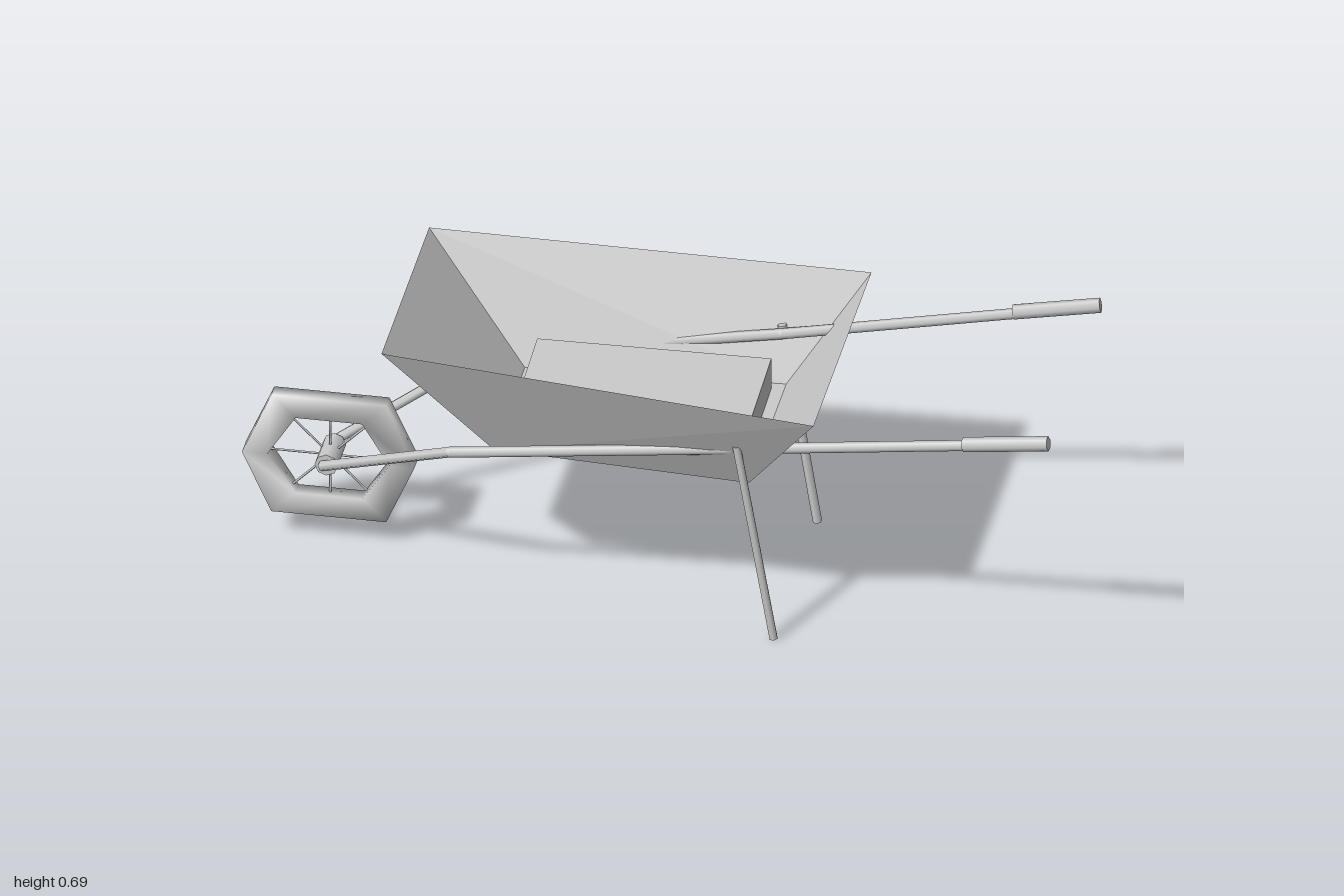
import * as THREE from 'three';

const metal = new THREE.MeshStandardMaterial({ color: 0xcccccc });
metal.name = 'grey metal';
const sheet = new THREE.MeshStandardMaterial({ color: 0xcccccc, side: THREE.DoubleSide });
sheet.name = 'grey sheet';

const V = (x, y, z) => new THREE.Vector3(x, y, z);

// Six-sided rod between two points
function rod(name, a, b, radius, sides = 6) {
  const dir = b.clone().sub(a);
  const mesh = new THREE.Mesh(new THREE.CylinderGeometry(radius, radius, dir.length(), sides), metal);
  mesh.position.copy(a).add(b).multiplyScalar(0.5);
  mesh.quaternion.setFromUnitVectors(V(0, 1, 0), dir.normalize());
  mesh.name = name;
  return mesh;
}

// Open tray with four sloping walls and a floor
function makeTray() {
  const rim = [V(-0.61, 0.69, 0.3), V(0.44, 0.645, 0.365), V(0.44, 0.645, -0.365), V(-0.61, 0.69, -0.3)];
  const base = [V(-0.36, 0.395, 0.195), V(0.26, 0.395, 0.235), V(0.26, 0.395, -0.235), V(-0.36, 0.395, -0.195)];
  const points = [];
  const quad = (a, b, c, d) => points.push(a, b, c, a, c, d);
  for (let i = 0; i < 4; i++) {
    const j = (i + 1) % 4;
    quad(base[i], base[j], rim[j], rim[i]);
  }
  quad(base[3], base[2], base[1], base[0]);
  const geometry = new THREE.BufferGeometry().setFromPoints(points);
  geometry.computeVertexNormals();
  const mesh = new THREE.Mesh(geometry, sheet);
  mesh.name = 'tray';
  return mesh;
}

// Hexagonal tyre: a four-cornered section swept round six stations
function makeTyre() {
  const outer = [[0.207, 0], [0.138, 0.159], [-0.138, 0.159], [-0.207, 0], [-0.138, -0.159], [0.138, -0.159]];
  const inner = [[0.147, 0], [0.08, 0.102], [-0.08, 0.102], [-0.147, 0], [-0.08, -0.102], [0.08, -0.102]];
  const points = [], index = [];
  for (let i = 0; i < 6; i++) {
    const w = i % 3 === 0 ? 0.028 : 0.02;
    const [ox, oy] = outer[i], [ix, iy] = inner[i];
    points.push(V(ox, oy, w), V(ox, oy, -w), V(ix, iy, -w), V(ix, iy, w));
    for (let k = 0; k < 4; k++) {
      const a = i * 4 + k, b = i * 4 + (k + 1) % 4;
      const c = ((i + 1) % 6) * 4 + k, d = ((i + 1) % 6) * 4 + (k + 1) % 4;
      index.push(a, b, c, b, d, c);
    }
  }
  const geometry = new THREE.BufferGeometry().setFromPoints(points);
  geometry.setIndex(index);
  geometry.computeVertexNormals();
  const mesh = new THREE.Mesh(geometry, metal);
  mesh.name = 'tyre';
  return mesh;
}

// Wheel with hub and eight spokes
function makeWheel() {
  const wheel = new THREE.Group();
  wheel.name = 'wheel';
  wheel.add(makeTyre(), rod('hub', V(0, 0, -0.052), V(0, 0, 0.052), 0.028, 8));
  for (let i = 0; i < 8; i++) {
    const t = (i * Math.PI) / 4;
    const reach = i % 4 === 0 ? 0.147 : i % 2 === 0 ? 0.104 : 0.13;
    wheel.add(rod('spoke', V(0, 0, 0), V(Math.cos(t) * reach, Math.sin(t) * reach, 0), 0.003, 4));
  }
  wheel.position.set(-0.79, 0.223, 0);
  return wheel;
}

// Bent frame pipe with grip and leg; side is +1 or -1
function makeSide(side) {
  const group = new THREE.Group();
  group.name = side > 0 ? 'frontSideFrame' : 'rearSideFrame';
  const path = [V(-0.8, 0.222, 0.056), V(-0.46, 0.4, 0.235), V(0.24, 0.508, 0.273), V(0.99, 0.634, 0.328)];
  path.forEach((p) => { p.z *= side; });
  for (let i = 0; i < 3; i++) {
    group.add(rod('framePipe', path[i], path[i + 1], 0.013));
    if (i > 0) {
      const joint = new THREE.Mesh(new THREE.SphereGeometry(0.013, 8, 6), metal);
      joint.position.copy(path[i]);
      joint.name = 'pipeBend';
      group.add(joint);
    }
  }
  group.add(rod('grip', V(0.79, 0.604, 0.315 * side), V(0.997, 0.637, 0.329 * side), 0.018));
  group.add(rod('leg', V(0.24, 0.525, 0.288 * side), V(0.327, 0.002, 0.277 * side), 0.011));
  return group;
}

export function createModel() {
  const model = new THREE.Group();
  model.name = 'wheelbarrow';
  model.add(makeTray(), makeWheel(), makeSide(1), makeSide(-1));

  // Slightly turned block lying in the tray
  const load = new THREE.Mesh(new THREE.BoxGeometry(0.56, 0.083, 0.385), metal);
  load.position.set(-0.047, 0.434, -0.012);
  load.rotation.y = 0.02;
  load.name = 'load';
  model.add(load);
  return model;
}
